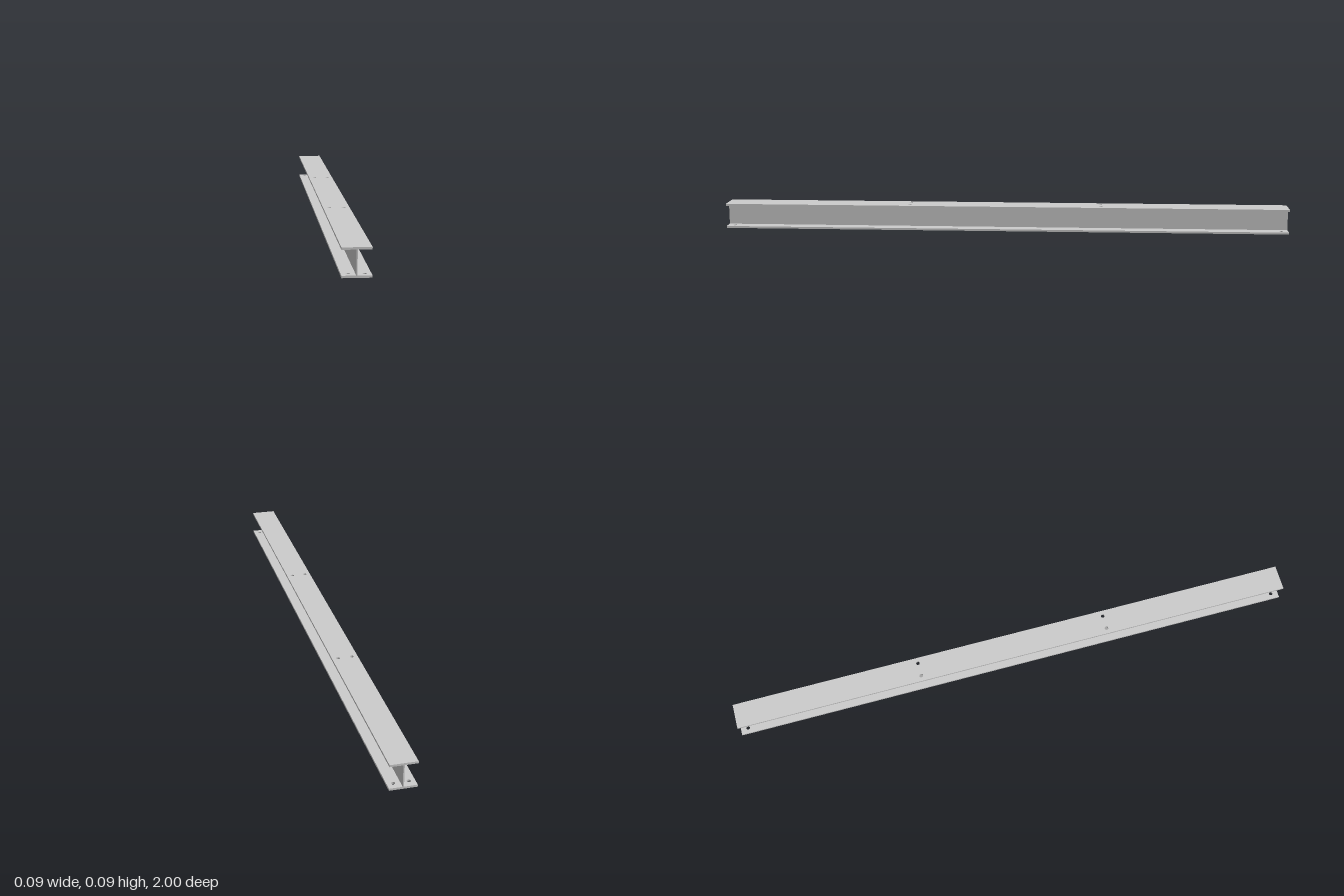
import * as THREE from 'three';

const LENGTH = 2, WIDTH = 0.088, HEIGHT = 0.088;
const FLANGE = 0.007, WEB = 0.004;
const HOLE_RADIUS = 0.0065, HOLE_X = 0.024;

// Flat plate with pairs of bolt holes at +holeZ and -holeZ, top face at y = topY
function flange(name, topY, holeZ, material) {
  const w = WIDTH / 2, l = LENGTH / 2;
  const shape = new THREE.Shape([
    new THREE.Vector2(-w, -l), new THREE.Vector2(w, -l),
    new THREE.Vector2(w, l), new THREE.Vector2(-w, l),
  ]);
  for (const sx of [-1, 1]) {
    for (const sz of [-1, 1]) {
      const hole = new THREE.Path();
      hole.absarc(sx * HOLE_X, sz * holeZ, HOLE_RADIUS, 0, Math.PI * 2, true);
      shape.holes.push(hole);
    }
  }
  const geometry = new THREE.ExtrudeGeometry(shape, { depth: FLANGE, bevelEnabled: false, curveSegments: 24 });
  geometry.rotateX(Math.PI / 2);
  const mesh = new THREE.Mesh(geometry, material);
  mesh.name = name;
  mesh.position.y = topY;
  return mesh;
}

export function createModel() {
  const beam = new THREE.Group();
  beam.name = 'steelBeam';
  const material = new THREE.MeshStandardMaterial({ color: 0xcccccc });

  // Top flange is drilled near its thirds, bottom flange near its ends
  beam.add(flange('topFlange', HEIGHT, 0.34, material));
  beam.add(flange('bottomFlange', FLANGE, 0.975, material));

  // Upright web between the flanges
  const web = new THREE.Mesh(new THREE.BoxGeometry(WEB, HEIGHT - 2 * FLANGE, LENGTH), material);
  web.name = 'web';
  web.position.y = HEIGHT / 2;
  beam.add(web);

  return beam;
}
